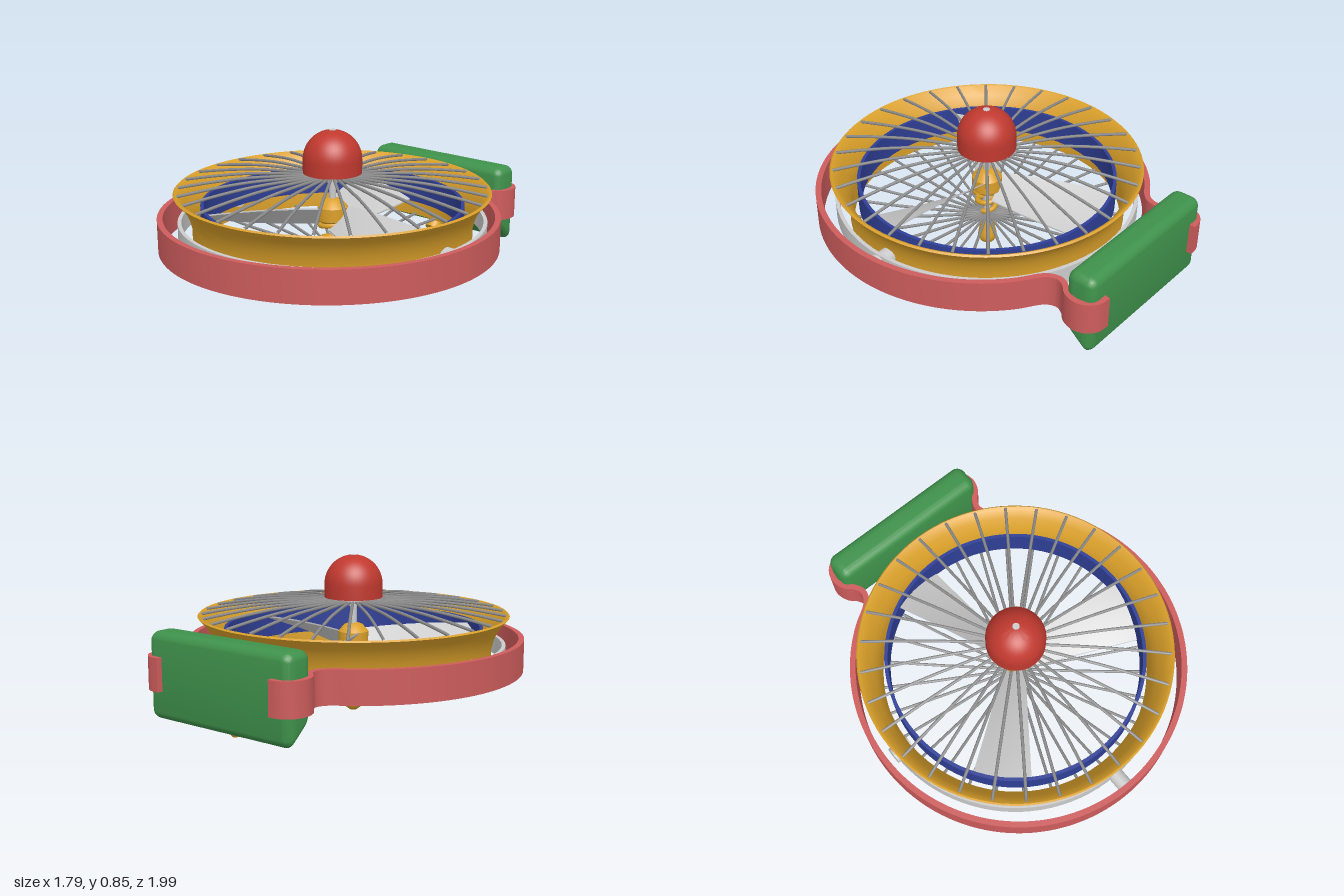
import * as THREE from 'three';
import { toCreasedNormals } from 'three/addons/utils/BufferGeometryUtils.js';
import { RoundedBoxGeometry } from 'three/addons/geometries/RoundedBoxGeometry.js';

const mat = (color, side = THREE.FrontSide) => new THREE.MeshStandardMaterial({ color, side });
const GOLD = mat(0xdaa02a, THREE.DoubleSide), RED = mat(0xc0392f), PINK = mat(0xcd5c5c);
const GREEN = mat(0x3f914b), BLUE = mat(0x2f3f96, THREE.DoubleSide);
const GREY = mat(0xcccccc, THREE.DoubleSide), WIRE = mat(0x8c8c8c);
const AXIS_Z = 0.08; // fan axis

function add(parent, name, geometry, material, x = 0, y = 0, z = 0) {
  const mesh = new THREE.Mesh(geometry, material);
  mesh.name = name;
  mesh.position.set(x, y, z);
  parent.add(mesh);
  return mesh;
}

// Lathe with sharp edges kept where the profile turns strongly
function lathe(points, segments = 64) {
  const profile = points.map(([r, y]) => new THREE.Vector2(r, y));
  return toCreasedNormals(new THREE.LatheGeometry(profile, segments), 0.6);
}

// Square-section ring
const ring = (inner, outer, y0, y1) =>
  lathe([[inner, y0], [outer, y0], [outer, y1], [inner, y1], [inner, y0]], 96);

// Open band whose ends curl round the battery pack
function bandGeometry() {
  const R = 0.878, cz = 0.107, half = 0.015;
  const curl = [[0.41, -0.69], [0.4, -0.735], [0.42, -0.78], [0.458, -0.82],
    [0.477, -0.88], [0.462, -0.935], [0.42, -0.972], [0.36, -0.98]];
  const line = curl.map(([x, z]) => new THREE.Vector3(x, 0, z)).reverse();
  const start = Math.asin(0.44 / R);
  for (let i = 0; i <= 40; i++) {
    const a = start + (2 * Math.PI - 2 * start) * i / 40;
    line.push(new THREE.Vector3(R * Math.sin(a), 0, cz - R * Math.cos(a)));
  }
  curl.forEach(([x, z]) => line.push(new THREE.Vector3(-x, 0, z)));
  const curve = new THREE.CatmullRomCurve3(line);
  const left = [], right = [], n = 240;
  for (let i = 0; i <= n; i++) {
    const p = curve.getPoint(i / n), t = curve.getTangent(i / n);
    left.push(new THREE.Vector2(p.x + t.z * half, -p.z + t.x * half));
    right.push(new THREE.Vector2(p.x - t.z * half, -p.z - t.x * half));
  }
  const g = new THREE.ExtrudeGeometry(new THREE.Shape([...left, ...right.reverse()]),
    { depth: 0.17, bevelEnabled: false });
  g.rotateX(-Math.PI / 2);
  return toCreasedNormals(g, 0.6);
}

// Twisted blade along +x, widening towards the tip; its -z edge is the higher one
function bladeGeometry() {
  const g = new THREE.BoxGeometry(1, 0.008, 1, 12, 1, 6);
  const p = g.attributes.position;
  for (let i = 0; i < p.count; i++) {
    const u = p.getX(i) + 0.5, v = p.getZ(i);
    const width = 0.12 + 0.19 * u, r = 0.06 + 0.625 * u;
    const pitch = 0.75 - 0.4 * u;
    const x = u > 0.5 ? r - (u - 0.5) * 2 * v * v * 0.1 : r;
    p.setXYZ(i, x, p.getY(i) - v * width * Math.tan(pitch), v * width);
  }
  return toCreasedNormals(g, 0.6);
}

// Fan of wire spokes following a radial profile
function spokes(parent, name, profile, count = 30) {
  const guard = new THREE.Group();
  guard.name = name;
  const curve = new THREE.CatmullRomCurve3(profile.map(([r, y]) => new THREE.Vector3(0, y, r)));
  const g = new THREE.TubeGeometry(curve, 12, 0.008, 6);
  for (let i = 0; i < count; i++) {
    add(guard, 'spoke', g, WIRE).rotation.y = i * 2 * Math.PI / count;
  }
  parent.add(guard);
}

export function createModel() {
  const model = new THREE.Group();
  model.name = 'fanDevice';
  add(model, 'outerBand', bandGeometry(), PINK, 0, 0.25, 0);

  const fan = new THREE.Group();
  fan.name = 'fan';
  fan.position.z = AXIS_Z;
  model.add(fan);

  // Flared duct
  add(fan, 'duct', lathe([[0.72, 0.225], [0.735, 0.225], [0.74, 0.247], [0.735, 0.27], [0.735, 0.36],
    [0.75, 0.42], [0.768, 0.46], [0.79, 0.495], [0.822, 0.53], [0.828, 0.537], [0.82, 0.545],
    [0.808, 0.54], [0.775, 0.495], [0.75, 0.455], [0.733, 0.415], [0.72, 0.36], [0.72, 0.225]], 96), GOLD);

  // Gimbal ring and its pivots
  add(fan, 'gimbalRing', ring(0.79, 0.81, 0.285, 0.385), GREY);
  for (const s of [1, -1]) {
    add(fan, 'sidePivot', new THREE.CylinderGeometry(0.045, 0.045, 0.11, 24), GREY, s * 0.77, 0.335, 0)
      .rotation.z = Math.PI / 2;
    add(fan, 'bandPivot', new THREE.CylinderGeometry(0.04, 0.04, 0.09, 24), GREY, 0, 0.335, s > 0 ? 0.85 : -0.835)
      .rotation.x = Math.PI / 2;
  }

  // Rotor: rim and three blades
  const rotor = new THREE.Group();
  rotor.name = 'rotor';
  fan.add(rotor);
  add(rotor, 'rotorRim', ring(0.672, 0.69, 0.32, 0.47), BLUE);
  const blade = bladeGeometry();
  for (let i = 0; i < 3; i++) {
    add(rotor, 'blade', blade, GREY, 0, 0.385, 0).rotation.y = THREE.MathUtils.degToRad(-16 + 120 * i);
  }

  // Guards
  spokes(fan, 'topGuard', [[0.05, 0.605], [0.25, 0.602], [0.45, 0.592], [0.65, 0.567], [0.81, 0.54]]);
  spokes(fan, 'bottomGuard', [[0.02, 0.195], [0.25, 0.199], [0.5, 0.212], [0.73, 0.235]]);

  // Shaft, drive body and winding spring
  add(fan, 'shaft', new THREE.CylinderGeometry(0.018, 0.018, 0.44, 16), GREY, 0, 0.41, 0);
  add(fan, 'neck', new THREE.CylinderGeometry(0.085, 0.085, 0.04, 32), GREY, 0, 0.61, 0);
  add(fan, 'driveBody', lathe([[0, 0.35], [0.06, 0.35], [0.08, 0.37], [0.08, 0.44],
    [0.05, 0.475], [0.025, 0.485], [0, 0.485]], 32), GOLD);
  const coil = [];
  for (let i = 0; i <= 32; i++) {
    const t = i / 32, a = t * 4 * Math.PI, r = 0.07 - 0.03 * t;
    coil.push(new THREE.Vector3(r * Math.cos(a), 0.36 - 0.13 * t, r * Math.sin(a)));
  }
  add(fan, 'spring', new THREE.TubeGeometry(new THREE.CatmullRomCurve3(coil), 80, 0.014, 8), GOLD);

  // Domed cap with centre pin
  const dome = [[0, 0.625], [0.155, 0.625], [0.155, 0.695]];
  for (let i = 1; i <= 16; i++) {
    const a = i / 16 * Math.PI / 2;
    dome.push([Math.max(0, 0.155 * Math.cos(a)), 0.695 + 0.155 * Math.sin(a)]);
  }
  add(fan, 'domeCap', lathe(dome, 48), RED);
  add(fan, 'capPin', new THREE.CylinderGeometry(0.018, 0.018, 0.02, 16), GREY, 0, 0.842, 0);

  // Hanging weight
  add(fan, 'weight', lathe([[0, 0.003], [0.02, 0.007], [0.04, 0.022], [0.051, 0.045], [0.051, 0.065],
    [0.046, 0.09], [0.036, 0.135], [0.03, 0.17], [0.025, 0.185], [0, 0.19]], 32), GOLD);

  // Battery pack with slanted underside
  const pack = new RoundedBoxGeometry(0.915, 0.44, 0.162, 5, 0.05);
  const p = pack.attributes.position;
  for (let i = 0; i < p.count; i++) {
    if (p.getY(i) < 0) p.setY(i, p.getY(i) + 0.11 * Math.max(0, p.getZ(i) + 0.05) / 0.131);
  }
  add(model, 'batteryPack', toCreasedNormals(pack, 0.7), GREEN, 0, 0.32, -0.884);

  // Screw cap under the pack
  add(model, 'packCap', new THREE.CylinderGeometry(0.038, 0.047, 0.075, 20), GOLD, -0.01, 0.122, -0.845)
    .rotation.x = -0.72;
  return model;
}
